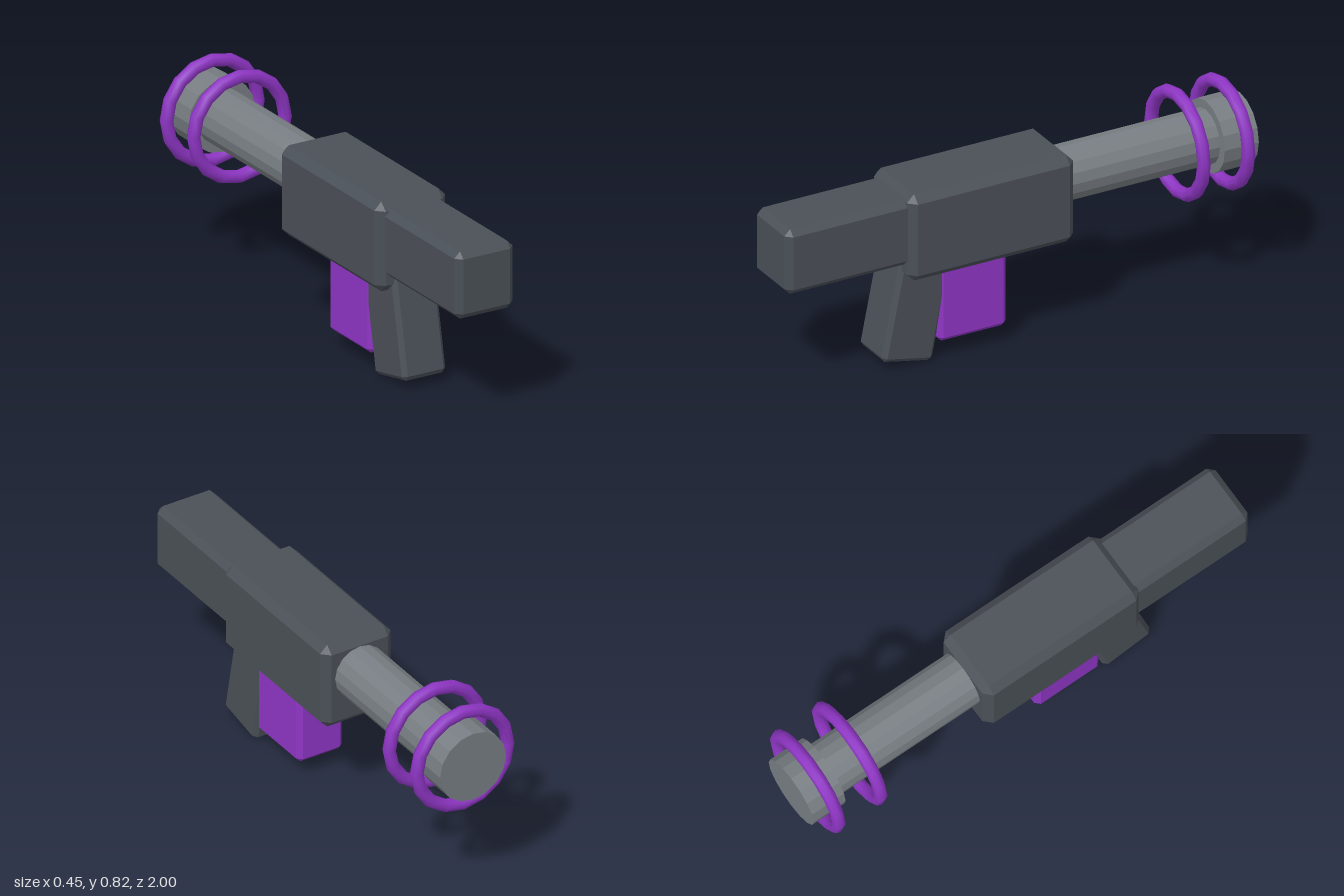
import * as THREE from 'three';
import { ConvexGeometry } from 'three/addons/geometries/ConvexGeometry.js';

const dark = new THREE.MeshStandardMaterial({ color: 0x4a5057, flatShading: true });
const steel = new THREE.MeshStandardMaterial({ color: 0x777d82, flatShading: true });
const purple = new THREE.MeshStandardMaterial({ color: 0x8e35c4, flatShading: true });
const purpleSmooth = new THREE.MeshStandardMaterial({ color: 0x8e35c4 });

const AXIS_Y = 0.59; // height of the barrel axis

// Box with every edge cut by a flat chamfer c
function chamferBox(w, h, d, c) {
  const half = [w / 2, h / 2, d / 2];
  const points = [];
  for (const sx of [-1, 1]) for (const sy of [-1, 1]) for (const sz of [-1, 1]) {
    for (let full = 0; full < 3; full++) {
      const p = half.map((v, i) => (i === full ? v : v - c));
      points.push(new THREE.Vector3(p[0] * sx, p[1] * sy, p[2] * sz));
    }
  }
  return new ConvexGeometry(points);
}

export function createModel() {
  const group = new THREE.Group();
  const add = (name, geometry, material, y, z) => {
    const mesh = new THREE.Mesh(geometry, material);
    mesh.name = name;
    mesh.position.set(0, y, z);
    group.add(mesh);
    return mesh;
  };
  // Cylinder along z between two depths
  const tube = (name, radius, z0, z1) => add(name,
    new THREE.CylinderGeometry(radius, radius, z1 - z0, 16).rotateX(Math.PI / 2),
    steel, AXIS_Y, (z0 + z1) / 2);

  // Receiver and stock
  add('body', chamferBox(0.31, 0.36, 0.71, 0.031), dark, 0.552, 0.135);
  add('stock', chamferBox(0.254, 0.27, 0.6, 0.025), dark, 0.572, 0.7);

  // Slanted grip, its top hidden in the body
  add('grip', chamferBox(0.19, 0.48, 0.22, 0.017), dark, 0.254, 0.42).rotation.x = -0.2;

  // Magazine, its top hidden in the body
  add('magazine', chamferBox(0.2, 0.43, 0.292, 0.018), purple, 0.283, 0.191);

  // Barrel and muzzle
  tube('barrel', 0.109, -0.9, -0.15);
  tube('muzzle', 0.145, -1, -0.855);

  // Rings floating around the barrel
  for (const z of [-0.735, -0.925]) {
    add('ring', new THREE.TorusGeometry(0.2, 0.026, 8, 16), purpleSmooth, AXIS_Y, z);
  }
  return group;
}
